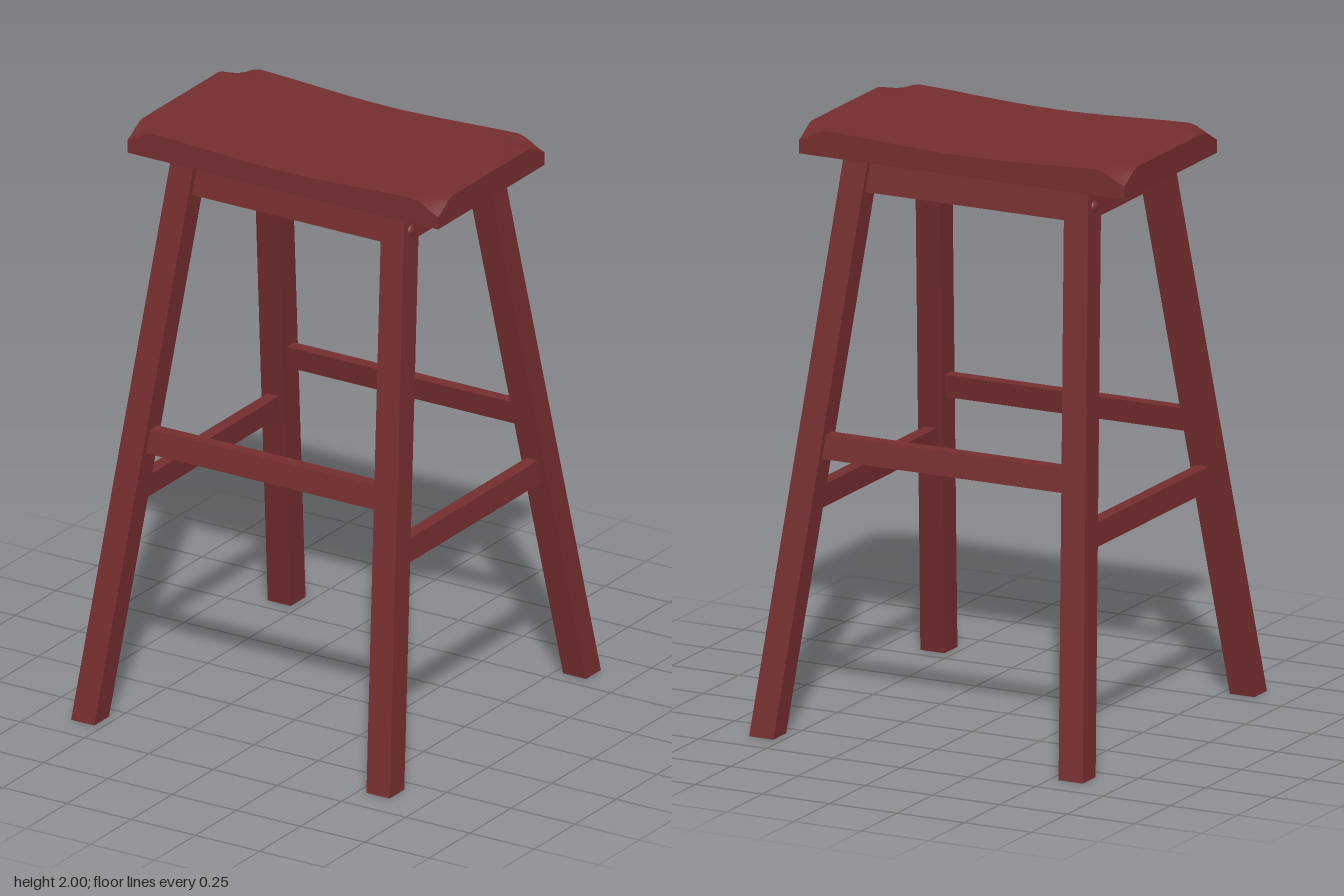
import * as THREE from 'three';

const SEAT_BOTTOM = 1.91;
// Centre line of a leg at height y (positive quadrant)
const legX = (y) => 0.41 + 0.165 * (1 - y / SEAT_BOTTOM);
const legZ = (y) => 0.25 + 0.35 * (1 - y / SEAT_BOTTOM);

export function createModel() {
  const group = new THREE.Group();
  const wood = new THREE.MeshStandardMaterial({ color: 0x742d2e });
  wood.name = 'red stained wood';

  const add = (geometry, name) => {
    const mesh = new THREE.Mesh(geometry, wood);
    mesh.name = name;
    group.add(mesh);
    return mesh;
  };

  // Box between two heights whose vertices lean with the legs:
  // rule(x, y, z) returns the new [x, z]
  const leaningBox = (w, y0, y1, d, rule) => {
    const geo = new THREE.BoxGeometry(w, y1 - y0, d);
    geo.translate(0, (y0 + y1) / 2, 0);
    const p = geo.attributes.position;
    for (let i = 0; i < p.count; i++) {
      const [x, z] = rule(p.getX(i), p.getY(i), p.getZ(i));
      p.setX(i, x);
      p.setZ(i, z);
    }
    geo.computeVertexNormals();
    return geo;
  };

  // Saddle seat: top dips along x and is rounded down at the four corners
  const seat = new THREE.BoxGeometry(1.21, 0.09, 0.65, 48, 1, 28);
  seat.translate(0, SEAT_BOTTOM + 0.045, 0);
  const p = seat.attributes.position;
  for (let i = 0; i < p.count; i++) {
    if (p.getY(i) < 1.95) continue;
    const x = Math.abs(p.getX(i)), z = Math.abs(p.getZ(i));
    const dip = 0.01 * (1 + Math.cos((Math.PI * x) / 0.605));
    const corner = THREE.MathUtils.smoothstep(x, 0.5, 0.62) * THREE.MathUtils.smoothstep(z, 0.23, 0.34);
    p.setY(i, 2 - dip - 0.05 * corner);
  }
  seat.computeVertexNormals();
  add(seat, 'seat');

  // Splayed legs with side bolts
  for (const sx of [-1, 1]) {
    for (const sz of [-1, 1]) {
      const side = `${sz > 0 ? 'front' : 'back'}${sx > 0 ? 'Left' : 'Right'}`;
      add(leaningBox(0.09, 0, SEAT_BOTTOM + 0.005, 0.09,
        (x, y, z) => [x + sx * legX(y), z + sz * legZ(y)]), `${side}Leg`);
      const bolt = add(new THREE.SphereGeometry(0.022, 16, 10), `${side}Bolt`);
      bolt.scale.x = 0.6;
      bolt.position.set(sx * (legX(1.85) + 0.042), 1.85, sz * legZ(1.85));
    }
  }

  // Rails follow the slant of the legs and end inside them
  for (const s of [-1, 1]) {
    const longRail = (y0, y1, name) => add(leaningBox(2, y0, y1, 0.045,
      (x, y, z) => [x * (legX(y) - 0.01), z + s * legZ(y)]), `${s > 0 ? 'front' : 'back'}${name}`);
    const sideRail = (y0, y1, name) => add(leaningBox(0.045, y0, y1, 2,
      (x, y, z) => [x + s * legX(y), z * (legZ(y) - 0.01)]), `${s > 0 ? 'left' : 'right'}${name}`);
    longRail(1.8, SEAT_BOTTOM, 'Apron');
    sideRail(1.8, SEAT_BOTTOM, 'Apron');
    longRail(0.92, 1.0, 'Stretcher');
    sideRail(0.73, 0.81, 'Stretcher');
  }
  return group;
}
